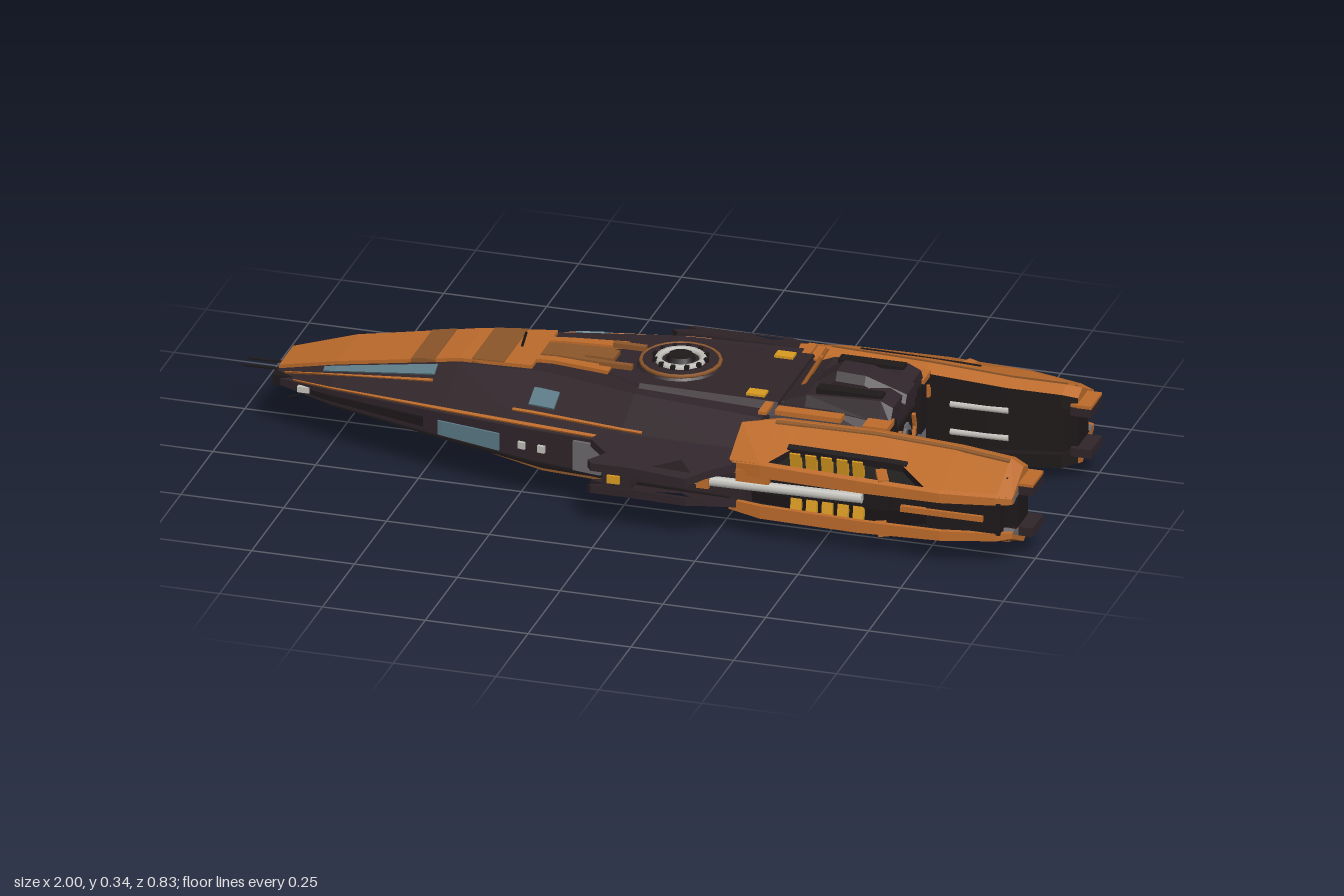
import * as THREE from 'three';

const mat = (name, color) => Object.assign(new THREE.MeshStandardMaterial({ color }), { name });

export function createModel() {
  const root = new THREE.Group();
  root.name = 'spaceship';
  const dark = mat('darkHull', 0x30252a), black = mat('blackPanel', 0x1e191a), orange = mat('orange', 0xbc6b2b),
    brown = mat('brown', 0x8c562a), blue = mat('blueGlass', 0x5c7a86), yellow = mat('yellow', 0xd89a20),
    grey = mat('grey', 0x6c696c), light = mat('lightMetal', 0xc4c2bc);

  const add = (name, geo, m, x = 0, y = 0, z = 0) => {
    const mesh = new THREE.Mesh(geo, m);
    mesh.name = name;
    mesh.position.set(x, y, z);
    root.add(mesh);
    return mesh;
  };
  const box = (name, m, x, y, z, w, h, d) => add(name, new THREE.BoxGeometry(w, h, d), m, x, y, z);
  const pair = (name, m, x, y, z, w, h, d) => [1, -1].map(s => box(name, m, x, y, s * z, w, h, d));
  const rod = (name, m, a, b, r, sides = 6) => {
    const [p, q] = [new THREE.Vector3(...a), new THREE.Vector3(...b)], dir = q.clone().sub(p);
    const mesh = add(name, new THREE.CylinderGeometry(r, r, dir.length(), sides), m);
    mesh.position.copy(p.lerp(q, 0.5));
    mesh.quaternion.setFromUnitVectors(new THREE.Vector3(0, 1, 0), dir.normalize());
  };
  // value of a station table at x
  const at = (xs, vals, x) => {
    let i = 0;
    while (i < xs.length - 2 && x > xs[i + 1]) i++;
    const t = Math.min(1, Math.max(0, (x - xs[i]) / (xs[i + 1] - xs[i])));
    return vals[i] + (vals[i + 1] - vals[i]) * t;
  };
  // skin over convex rings of [x, y, z]; one material per ring side, faceted
  const loft = (name, rings, mats, flip = false) => {
    const pos = [], geo = new THREE.BufferGeometry(), n = rings[0].length, many = Array.isArray(mats);
    const tri = (a, b, c) => pos.push(...a, ...(flip ? c : b), ...(flip ? b : c));
    for (let i = 0; i < n; i++) {
      const start = pos.length / 3, j = (i + 1) % n;
      for (let k = 0; k < rings.length - 1; k++) {
        const [a, b, c, d] = [rings[k][i], rings[k][j], rings[k + 1][j], rings[k + 1][i]];
        tri(a, b, c);
        tri(a, c, d);
      }
      if (many) geo.addGroup(start, pos.length / 3 - start, i);
    }
    const start = pos.length / 3, first = rings[0], last = rings[rings.length - 1];
    for (let i = 1; i < n - 1; i++) {
      tri(first[0], first[i + 1], first[i]);
      tri(last[0], last[i], last[i + 1]);
    }
    if (many) geo.addGroup(start, pos.length / 3 - start, 0);
    geo.setAttribute('position', new THREE.Float32BufferAttribute(pos, 3));
    geo.computeVertexNormals();
    return add(name, geo, mats);
  };
  // full ring from a half section of [z, y]
  const sym = (x, half) => [...half.map(([z, y]) => [x, y, z]), ...half.slice().reverse().map(([z, y]) => [x, y, -z])];

  // Main hull
  const hx = [-0.9, -0.75, -0.45, -0.23, 0, 0.32];
  const half = x => {
    const v = t => at(hx, t, x);
    const top = v([0.142, 0.182, 0.235, 0.25, 0.25, 0.245]), w = v([0.085, 0.142, 0.228, 0.275, 0.305, 0.33]);
    const wt = v([0.06, 0.085, 0.095, 0.115, 0.17, 0.2]), wb = v([0.04, 0.075, 0.12, 0.15, 0.165, 0.165]);
    const bot = v([0.112, 0.092, 0.052, 0.02, 0.018, 0.018]);
    return [[0, top], [wt, top], [w, v([0.132, 0.145, 0.165, 0.175, 0.18, 0.18])],
      [w, v([0.118, 0.108, 0.1, 0.09, 0.085, 0.085])], [wb, bot], [0, bot]];
  };
  loft('hull', hx.map(x => sym(x, half(x).slice(1, 5))), [dark, dark, dark, orange, dark, dark, dark, dark]);

  // plates that follow the hull: u runs 0 top centre, 1 deck edge, 2 and 3 side, 4 keel edge, 5 keel centre
  const patch = (name, m, x0, x1, u0, u1, off = 0.005) => [1, -1].forEach(s => {
    const xs = [x0, ...hx.filter(x => x > x0 && x < x1), x1], i = Math.min(4, Math.floor(u0));
    loft(name, xs.map(x => {
      const [p, q] = [half(x)[i], half(x)[i + 1]], d = [q[0] - p[0], q[1] - p[1]], l = Math.hypot(...d);
      const pt = (u, o) => [x, p[1] + d[1] * (u - i) + o * d[0] / l, s * (p[0] + d[0] * (u - i) - o * d[1] / l)];
      return [pt(u0, off), pt(u1, off), pt(u1, -0.004), pt(u0, -0.004)];
    }), m, s < 0);
  });
  patch('nosePlate', orange, -0.9, -0.27, 0, 0.92, 0.009);
  patch('rearNosePlate', orange, -0.27, -0.09, 0.38, 0.58, 0.009);
  patch('rearNoseBand', brown, -0.27, -0.11, 0, 0.3, 0.008);
  for (const [a, b] of [[-0.57, -0.51], [-0.42, -0.34]]) patch('noseBand', brown, a, b, 0, 0.92, 0.011);
  patch('noseWindow', blue, -0.78, -0.5, 1.04, 1.26);
  patch('noseTrim', orange, -0.88, -0.5, 1.36, 1.41);
  patch('edgeTrim', orange, -0.85, 0.3, 1.91, 1.96);
  patch('deckTrim', orange, -0.28, 0.05, 1.7, 1.74);
  patch('deckWindow', blue, -0.245, -0.18, 1.3, 1.6);
  patch('sideWindow', blue, -0.46, -0.3, 2.3, 2.85);
  patch('sideSlot', black, -0.8, -0.5, 2.3, 2.7);
  patch('sideSill', black, -0.8, 0.28, 2.9, 2.98);
  patch('hatch', grey, -0.11, -0.04, 2.08, 2.9, 0.008);
  for (const x of [-0.25, -0.2]) patch('sideLamp', light, x, x + 0.018, 2.4, 2.6, 0.008);
  patch('keelTrim', brown, -0.8, 0.3, 4.0, 4.12, 0.006);
  patch('bellyGlass', blue, 0.11, 0.27, 4.4, 5);
  patch('bellyBay', black, -0.1, 0.09, 4.4, 5);
  patch('bellyVent', dark, 0.2, 0.26, 4.17, 4.34);
  patch('frontBellyVent', black, -0.48, -0.42, 4.4, 4.65);
  for (let i = 0; i < 9; i++) pair('keelTooth', black, -0.04 + i * 0.03, 0.02, 0.155, 0.014, 0.018, 0.02);

  // Nose sensors
  for (const s of [1, -1]) {
    rod('noseAntenna', black, [-1, 0.122, s * 0.02], [-0.86, 0.125, s * 0.02], 0.003, 4);
    rod('noseWhisker', black, [-0.87, 0.085, s * 0.085], [-0.8, 0.115, s * 0.085], 0.002, 4);
    rod('towerAntenna', orange, [0.36, 0.25, s * 0.025], [0.41, 0.338, s * 0.025], 0.005, 5);
    box('noseLamp', light, -0.82, 0.127, s * 0.118, 0.03, 0.014, 0.012);
    box('noseClamp', black, -0.88, 0.128, s * 0.07, 0.05, 0.026, 0.04);
  }
  rod('mast', black, [-0.33, 0.24, 0], [-0.315, 0.29, 0], 0.003, 4);

  // Upper deck and turret
  loft('deck', [[-0.12, 0.07, 0.25], [0, 0.13, 0.26], [0.34, 0.14, 0.262]].map(([x, w, y]) => sym(x, [[w, y], [w + 0.02, 0.235]])), dark);
  box('deckHatch', brown, -0.13, 0.256, 0, 0.07, 0.014, 0.05);
  pair('deckRail', brown, -0.08, 0.262, 0.055, 0.08, 0.012, 0.014);
  add('turretBase', new THREE.CylinderGeometry(0.09, 0.105, 0.018, 16).toNonIndexed(), dark, 0.06, 0.264, 0);
  const ring = (name, m, r, t, y) => { add(name, new THREE.TorusGeometry(r, t, 6, 20), m, 0.06, y, 0).rotation.x = Math.PI / 2; };
  ring('turretOuterRing', brown, 0.093, 0.005, 0.27);
  ring('turretRing', light, 0.053, 0.01, 0.272);
  add('turretHub', new THREE.CylinderGeometry(0.03, 0.04, 0.02, 10), black, 0.06, 0.275, 0);
  for (let i = 0; i < 12; i++) {
    const a = i * Math.PI / 6;
    box('turretStud', black, 0.06 + 0.062 * Math.cos(a), 0.278, 0.062 * Math.sin(a), 0.01, 0.01, 0.01);
  }
  pair('deckMark', yellow, 0.28, 0.264, 0.11, 0.045, 0.008, 0.03);
  pair('deckStrip', orange, 0.42, 0.246, 0.15, 0.16, 0.012, 0.03);
  pair('deckBar', orange, 0.32, 0.257, 0.165, 0.02, 0.008, 0.07);

  // Rear centre section: the underside sweeps up to the stern lip
  const rear = (x, k, lift) => sym(x, [[0.13, 0.25 - k], [0.155, 0.2], [0.145 + 0.015 * (1 - lift), 0.112],
    [0.17 - 0.02 * lift, 0.06 + 0.047 * lift], [0.125 + 0.015 * lift, 0.016 + 0.086 * lift]]);
  loft('rearHull', [rear(0.28, 0, 0), rear(0.46, 0, 0), rear(0.6, 0.015, 1)],
    [dark, dark, orange, orange, orange, orange, orange, dark, dark, dark]);
  loft('towerBase', [[0.34, 0.252], [0.4, 0.276], [0.58, 0.284], [0.61, 0.27]].map(([x, y]) => sym(x, [[0.11, y], [0.13, 0.235]])), dark);
  loft('tower', [[0.39, 0.27], [0.45, 0.309], [0.52, 0.306], [0.62, 0.272]].map(([x, y]) => sym(x, [[0.032, y], [0.045, y - 0.02], [0.045, 0.235]])), dark);
  pair('towerRail', black, 0.5, 0.284, 0.085, 0.16, 0.014, 0.03);
  pair('rearCorner', orange, 0.585, 0.238, 0.142, 0.06, 0.014, 0.06);
  pair('rearWall', black, 0.605, 0.175, 0.115, 0.02, 0.12, 0.045);
  pair('lipHook', orange, 0.6, 0.195, 0.165, 0.03, 0.03, 0.014);
  box('doorRecess', black, 0.602, 0.155, 0, 0.008, 0.08, 0.15);
  for (const s of [1, -1]) for (const m of [1, -1]) // bracket either side of the door
    box('doorFrame', orange, 0.608, 0.152 + m * 0.016, s * 0.056, 0.012, 0.036, 0.009).rotation.x = -s * m * 0.3;
  rod('doorHub', grey, [0.604, 0.152, 0], [0.613, 0.152, 0], 0.026, 12);
  box('doorBar', grey, 0.606, 0.152, 0, 0.01, 0.06, 0.022);
  rod('doorCore', black, [0.61, 0.152, 0], [0.616, 0.152, 0], 0.015, 10);
  box('rearStep', grey, 0.61, 0.103, 0, 0.03, 0.022, 0.13);
  pair('rearVent', black, 0.5, 0.043, 0.075, 0.03, 0.016, 0.04);

  // Side fins: an upper and a lower sheet leaning out from the hull edge, joined at the front
  const v2 = list => list.map(p => new THREE.Vector2(...p));
  const finShape = new THREE.Shape(v2([[-0.04, 0.29], [-0.06, 0.32], [-0.01, 0.36], [-0.045, 0.39], [-0.035, 0.4], [0.06, 0.4],
    [0.2, 0.413], [0.235, 0.38], [0.3, 0.34], [0.3, 0.29]]));
  finShape.holes.push(new THREE.Path(v2([[0.11, 0.385], [0.205, 0.39], [0.17, 0.35]])));
  for (const s of [1, -1]) for (const m of [1, -1]) {
    const geo = new THREE.ExtrudeGeometry(finShape, { depth: 0.02, bevelEnabled: false });
    geo.rotateX(s * Math.PI / 2).translate(0, s * 0.01 + 0.131 + m * 0.025, 0);
    const p = geo.attributes.position;
    for (let i = 0; i < p.count; i++) p.setY(i, p.getY(i) + m * 0.3 * (0.41 - Math.abs(p.getZ(i))));
    geo.computeVertexNormals();
    add('sideFin', geo, dark);
  }
  pair('finRoot', dark, 0.025, 0.131, 0.35, 0.07, 0.05, 0.08);
  pair('finMark', yellow, 0.018, 0.131, 0.392, 0.03, 0.02, 0.008);
  pair('finStrut', orange, 0.22, 0.131, 0.342, 0.03, 0.03, 0.012);

  // Engine nacelles: upper and lower shells about mid height, open along the outer edge
  const nx = [0.28, 0.36, 0.6, 0.8, 0.93, 0.965], mid = 0.127;
  const zi = x => at(nx, [0.195, 0.175, 0.165, 0.165, 0.18, 0.195], x), zo = x => at(nx, [0.335, 0.35, 0.362, 0.36, 0.335, 0.32], x);
  const ht = x => at(nx, [0.115, 0.125, 0.123, 0.112, 0.105, 0.095], x), ho = x => at(nx, [0.06, 0.068, 0.066, 0.06, 0.055, 0.05], x);
  const edge = x => Math.min(zo(x) - 0.004, at([0.28, 0.37, 0.42, 0.69, 0.77, 0.97], [0.36, 0.36, 0.292, 0.292, 0.36, 0.36], x));
  const nxs = [0.28, 0.36, 0.37, 0.42, 0.6, 0.69, 0.77, 0.8, 0.93, 0.965];
  for (const s of [1, -1]) {
    for (const m of [1, -1]) {
      const shell = (name, material, list, f) => loft(name, list.map(x => f(x).map(([z, h]) => [x, mid + m * h, s * z])), material, s * m < 0);
      const slope = (x, z) => ht(x) + (ho(x) - ht(x)) * Math.max(0, z - zi(x) - 0.035) / (zo(x) - zi(x) - 0.035);
      shell('nacelleShell', [orange, orange, black, black, black], nxs, x => [[zi(x), ht(x) - 0.012], [zi(x) + 0.035, ht(x)],
        [edge(x), slope(x, edge(x))], [edge(x), slope(x, edge(x)) - 0.016], [zi(x), ht(x) - 0.045]]);
      shell('nacelleRail', orange, nxs, x => [[zo(x) - 0.012, ho(x) + 0.005], [zo(x), ho(x)], [zo(x), 0.036], [zo(x) - 0.012, 0.036]]);
      shell('shellSeam', brown, [0.36, 0.6, 0.8, 0.93], x => [[zi(x) + 0.04, ht(x) + 0.001], [zi(x) + 0.05, ht(x) - 0.002],
        [zi(x) + 0.05, ht(x) - 0.01], [zi(x) + 0.04, ht(x) - 0.01]]);
      shell('openingFrame', black, [0.41, 0.45, 0.66, 0.7], x => [[0.28, slope(x, 0.28) + 0.003], [0.294, slope(x, 0.294) + 0.003], [0.294, 0.075], [0.28, 0.075]]);
      for (let i = 0; i < 5; i++) box('coolingFin', yellow, 0.43 + i * 0.038, mid + m * 0.06, s * 0.288, 0.026, 0.05, 0.012).rotation.x = s * m * 0.2;
      box('openingStrut', orange, 0.65, mid + m * 0.066, s * 0.322, 0.025, 0.012, 0.065).rotation.y = s * 0.4;
      rod('innerPipe', light, [0.66, mid + m * 0.035, s * 0.178], [0.8, mid + m * 0.035, s * 0.182], 0.008);
      for (const x of [0.4, 0.5, 0.58]) box('innerBlock', grey, x, mid + m * 0.045, s * 0.178, 0.04, 0.03, 0.012);
      box('tailProng', dark, 0.975, mid + m * 0.052, s * 0.228, 0.05, 0.022, 0.085);
      box('tailGear', grey, 0.95, mid + m * 0.05, s * 0.28, 0.03, 0.014, 0.06).rotation.x = s * m * 0.4;
    }
    loft('nacelleCore', [0.3, 0.5, 0.75, 0.94].map(x => [[zi(x) + 0.012, 0.085], [0.272, 0.08], [0.284, 0.035],
      [0.284, -0.035], [0.272, -0.08], [zi(x) + 0.012, -0.085]].map(([z, h]) => [x, mid + h, s * z])), black, s < 0);
    rod('sideRail', light, [0.08, 0.13, s * 0.335], [0.6, 0.13, s * 0.318], 0.013, 8);
    box('prongPlate', orange, 0.975, mid + 0.066, s * 0.228, 0.05, 0.008, 0.085);
    box('nozzle', black, 0.95, mid, s * 0.235, 0.03, 0.08, 0.08);
    box('railMount', black, 0.64, mid + 0.012, s * 0.315, 0.06, 0.045, 0.05);
    box('tailSide', black, 0.85, mid, s * 0.315, 0.18, 0.08, 0.04);
    box('sidePanel', orange, 0.34, mid + 0.032, s * 0.335, 0.08, 0.03, 0.016);
    box('tailStripe', orange, 0.8, mid, s * 0.337, 0.2, 0.014, 0.012);
  }
  return root;
}
